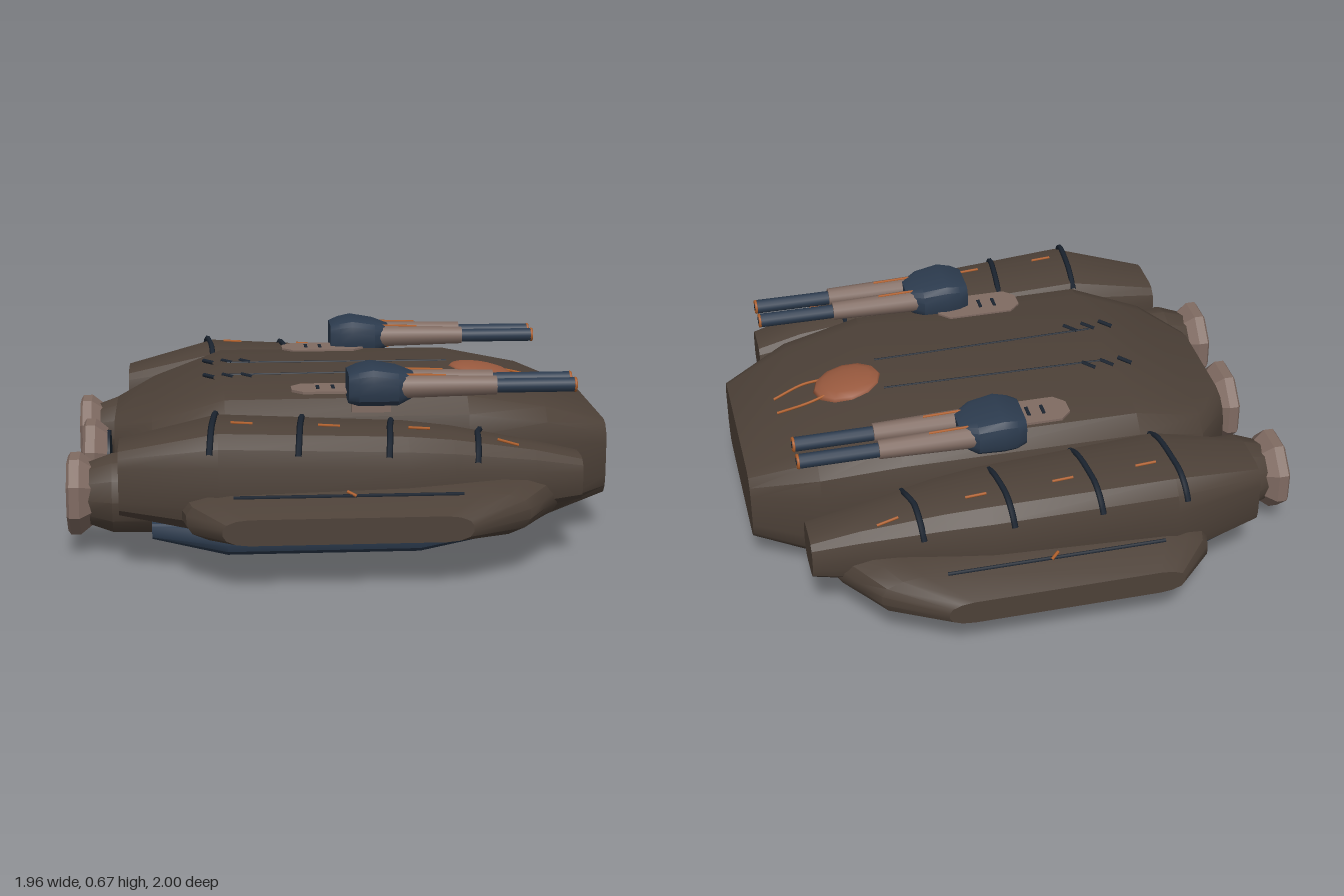
import * as THREE from 'three';
import { toCreasedNormals } from 'three/addons/utils/BufferGeometryUtils.js';

const paint = (name, color, side = THREE.FrontSide) => {
  const m = new THREE.MeshStandardMaterial({ color, side });
  m.name = name;
  return m;
};

// Loft of rounded rectangles along 'x' (u = y, v = z) or 'z' (u = x, v = y).
// Each section: [t, uLo, uHi, vLo, vHi, uRadius, vRadius]
function loft(axis, sections, steps = 3) {
  const place = (t, u, v) => (axis === 'x' ? [t, u, v] : [u, v, t]);
  const rings = [...sections].sort((a, b) => a[0] - b[0]).map(([t, u0, u1, va, vb, ru, rv = ru]) => {
    const v0 = Math.min(va, vb), v1 = Math.max(va, vb), ring = [];
    for (let q = 0; q < 4; q++) {
      const cu = q === 0 || q === 3 ? u1 - ru : u0 + ru;
      const cv = q < 2 ? v1 - rv : v0 + rv;
      for (let i = 0; i <= steps; i++) {
        const a = (q + i / steps) * Math.PI / 2;
        ring.push(place(t, cu + ru * Math.cos(a), cv + rv * Math.sin(a)));
      }
    }
    ring.mid = place(t, (u0 + u1) / 2, (v0 + v1) / 2);
    return ring;
  });
  const pos = [], n = rings[0].length, last = rings[rings.length - 1];
  for (let j = 0; j < n; j++) {
    const k = (j + 1) % n;
    for (let i = 0; i < rings.length - 1; i++) {
      const a = rings[i], b = rings[i + 1];
      pos.push(...a[j], ...a[k], ...b[j], ...a[k], ...b[k], ...b[j]);
    }
    pos.push(...rings[0].mid, ...rings[0][k], ...rings[0][j]);
    pos.push(...last.mid, ...last[j], ...last[k]);
  }
  const g = new THREE.BufferGeometry();
  g.setAttribute('position', new THREE.Float32BufferAttribute(pos, 3));
  return toCreasedNormals(g, 0.5);
}

export function createModel() {
  const root = new THREE.Group();
  root.name = 'gunship';
  const hullMat = paint('hull brown', 0x4d4138);
  const blue = paint('slate blue', 0x2c3b4e);
  const plateMat = paint('pale plate', 0x806b62, THREE.DoubleSide);
  const copper = paint('copper', 0x98593e);
  const orange = paint('orange trim', 0xb0602c);
  const dark = paint('dark trim', 0x1b2430);

  const add = (name, geometry, material, x = 0, y = 0, z = 0) => {
    const m = new THREE.Mesh(geometry, material);
    m.name = name;
    m.position.set(x, y, z);
    root.add(m);
    return m;
  };
  const box = (name, mat, w, h, d, x, y, z) => add(name, new THREE.BoxGeometry(w, h, d), mat, x, y, z);
  const rod = (name, mat, r, pts) => add(name, new THREE.TubeGeometry(
    new THREE.CatmullRomCurve3(pts.map((p) => new THREE.Vector3(...p))), pts.length > 2 ? 20 : 1, r, 6), mat);
  const barrelX = (name, mat, r, x0, x1, y, z) => {
    const m = add(name, new THREE.CylinderGeometry(r, r, x1 - x0, 12), mat, (x0 + x1) / 2, y, z);
    m.rotation.z = -Math.PI / 2;
  };
  // Flat octagonal plate lying in the xz plane
  const plate = (name, w, d, x, y, z) => {
    const c = d * 0.28, a = w / 2, b = d / 2;
    const s = new THREE.Shape([[a, b - c], [a - c, b], [c - a, b], [-a, b - c], [-a, c - b], [c - a, -b], [a - c, -b], [a, c - b]]
      .map((p) => new THREE.Vector2(...p)));
    const m = add(name, new THREE.ExtrudeGeometry(s, { depth: 0.009, bevelEnabled: false }), plateMat, x, y, z);
    m.rotation.x = -Math.PI / 2;
  };

  // Main hull
  add('hull', loft('x', [
    [-0.82, 0.10, 0.42, -0.28, 0.28, 0.10, 0.10],
    [-0.68, 0.02, 0.47, -0.46, 0.46, 0.13, 0.14],
    [-0.42, 0.01, 0.56, -0.52, 0.52, 0.15, 0.16],
    [0.45, 0.02, 0.56, -0.51, 0.51, 0.15, 0.16],
    [0.74, 0.06, 0.505, -0.46, 0.46, 0.13, 0.13],
    [0.98, 0.13, 0.41, -0.34, 0.34, 0.08, 0.06]]), hullMat);

  // Cockpit blister and its feelers
  const dome = add('cockpitBlister', new THREE.SphereGeometry(1, 12, 8), copper, 0.56, 0.535, 0);
  dome.scale.set(0.13, 0.035, 0.115);
  dome.rotation.z = -0.16;

  // Engine: flared bell facing -x with a spoked burner
  const engine = (x, y, z, r, base) => {
    const prof = [[0.72, 0.02], [0.72, -0.03], [0.76, -0.09], [1, -0.045], [1, -0.01], [0.9, 0], [0.78, -0.02], [0.7, -0.05]];
    const lathe = new THREE.LatheGeometry(prof.slice(1).reverse().map(([a, h]) => new THREE.Vector2(a * r, h)), 8, Math.PI / 8);
    const bell = add('engineBell', toCreasedNormals(lathe, 0.4), plateMat, x, y, z);
    bell.rotation.z = Math.PI / 2;
    barrelX('engineCore', dark, r * 0.72, x + 0.035, x + 0.1, y, z);
    for (const k of [0.66, 0.34]) {
      const ring = add('burnerRing', new THREE.TorusGeometry(r * k, r * 0.05, 6, 20), orange, x + 0.03, y, z);
      ring.rotation.y = Math.PI / 2;
    }
    for (let i = 0; i < 3; i++) {
      const spoke = box('burnerSpoke', orange, 0.01, r * 1.2, r * 0.16, x + 0.031, y, z);
      spoke.rotation.x = i * Math.PI / 3;
    }
    if (base) {
      const body = add('engineBody', toCreasedNormals(new THREE.LatheGeometry(
        [[0.105, -0.05], [0.145, -0.16], [0.15, -0.4]].reverse().map(([a, h]) => new THREE.Vector2(a, h)), 12), 0.6), hullMat, x, y, z);
      body.rotation.z = Math.PI / 2;
    }
  };
  engine(-0.945, 0.22, 0, 0.155, false);

  for (const s of [1, -1]) {
    // Mirrors the v range of x lofts, or the axis of z lofts
    const sideX = (rows) => loft('x', rows.map(([t, a, b, c, d, ...r]) => [t, a, b, s * c, s * d, ...r]));
    const sideZ = (rows) => loft('z', rows.map(([t, ...r]) => [s * t, ...r]));

    engine(-0.98, 0.215, s * 0.46, 0.148, true);

    add('sideNacelle', sideX([
      [-0.79, 0.20, 0.44, 0.51, 0.76, 0.06],
      [-0.45, 0.14, 0.525, 0.47, 0.87, 0.12],
      [0.20, 0.14, 0.495, 0.48, 0.835, 0.12],
      [0.36, 0.15, 0.475, 0.49, 0.81, 0.11],
      [0.65, 0.19, 0.42, 0.53, 0.755, 0.08],
      [0.82, 0.22, 0.375, 0.54, 0.72, 0.05]]), hullMat);

    add('sideWing', sideZ([
      [0.70, -0.60, 0.74, 0.15, 0.33, 0.16, 0.07],
      [0.80, -0.58, 0.67, 0.15, 0.32, 0.16, 0.07],
      [0.88, -0.56, 0.61, 0.15, 0.305, 0.15, 0.06],
      [1.00, -0.44, 0.40, 0.17, 0.26, 0.09, 0.035]]), hullMat);

    add('undersideSkid', sideX([
      [-0.68, 0.10, 0.16, 0.54, 0.68, 0.02],
      [-0.42, 0.05, 0.165, 0.48, 0.755, 0.045, 0.06],
      [0.25, 0.05, 0.165, 0.48, 0.755, 0.045, 0.06],
      [0.60, 0.11, 0.17, 0.56, 0.69, 0.02]]), blue);

    // Nacelle straps and dashes
    for (const x of [-0.48, -0.18, 0.13, 0.44]) {
      const h = x < 0.3 ? 0.525 - 0.046 * (x + 0.45) : 0.463;
      const zo = x < 0.3 ? 0.87 - 0.055 * (x + 0.45) : 0.795, zi = 0.475 + 0.04 * (x + 0.45), pts = [];
      for (let i = 0; i <= 5; i++) {
        const a = 0.35 + (Math.PI / 2 - 0.35) * i / 5;
        pts.push([x + 0.012 * i / 5, h - 0.12 + 0.123 * Math.sin(a), s * (zo - 0.12 + 0.123 * Math.cos(a))]);
      }
      pts.push([x + 0.025, h + 0.003, s * (zi + 0.12)], [x + 0.03, h - 0.035, s * (zi + 0.035)]);
      rod('nacelleStrap', dark, 0.011, pts);
      const hd = x < 0.3 ? h - 0.004 : 0.447;
      rod('nacelleDash', orange, 0.005, [[x + 0.075, hd + 0.004, s * 0.72], [x + 0.15, hd - (x < 0.3 ? 0.001 : 0.018), s * 0.72]]);
    }

    // Wing seam
    rod('wingSeam', dark, 0.007, [[-0.40, 0.304, s * 0.885], [0.38, 0.304, s * 0.885]]);
    rod('wingMark', orange, 0.006, [[-0.015, 0.316, s * 0.87], [0.015, 0.306, s * 0.895]]);
    rod('wingUnderMark', orange, 0.005, [[0, 0.150, s * 0.80], [0, 0.153, s * 0.88]]);

    // Deck seams, vents and feelers
    rod('deckSeam', dark, 0.004, [[-0.40, 0.561, s * 0.11], [0.44, 0.561, s * 0.095]]);
    for (let i = 0; i < 3; i++) {
      const x = -0.47 + i * 0.07;
      rod('deckVent', dark, 0.008, [[x - 0.02, 0.561, s * 0.13 - 0.024], [x + 0.02, 0.561, s * 0.13 + 0.024]]);
    }
    rod('feeler', orange, 0.005, [[0.64, 0.535, s * 0.05], [0.72, 0.515, s * 0.062], [0.83, 0.478, s * 0.045]]);

    // Twin gun turret on its deck plate
    plate('turretPlate', 0.32, 0.14, -0.02, 0.558, s * 0.375);
    for (const x of [-0.085, -0.03]) box('plateSlot', dark, 0.012, 0.008, 0.05, x, 0.567, s * 0.375);
    box('turretFoot', plateMat, 0.14, 0.08, 0.10, 0.10, 0.53, s * 0.43);
    add('turretHead', sideX([
      [0.015, 0.54, 0.645, 0.375, 0.545, 0.03],
      [0.05, 0.53, 0.66, 0.355, 0.565, 0.045],
      [0.10, 0.53, 0.67, 0.345, 0.575, 0.05],
      [0.19, 0.53, 0.655, 0.355, 0.565, 0.045],
      [0.25, 0.555, 0.635, 0.40, 0.52, 0.025]]), blue);
    for (const z of [0.413, 0.515]) {
      const sleeve = add('gunSleeve', new THREE.CylinderGeometry(0.034, 0.043, 0.36, 12), plateMat, 0.36, 0.597, s * z);
      sleeve.rotation.z = -Math.PI / 2;
      barrelX('gunBarrel', blue, 0.026, 0.53, 0.825, 0.595, s * z);
      barrelX('gunBore', dark, 0.014, 0.82, 0.828, 0.595, s * z);
      const ring = add('muzzleRing', new THREE.TorusGeometry(0.022, 0.006, 6, 16), orange, 0.822, 0.595, s * z);
      ring.rotation.y = Math.PI / 2;
      rod('sleeveStripe', orange, 0.005, [[0.22, 0.639, s * z], [0.36, 0.635, s * z]]);
    }

    // Belly plates with slots and piping
    plate('bellyPlateRear', 0.28, 0.15, -0.09, 0.005, s * 0.21);
    plate('bellyPlateFront', 0.18, 0.11, 0.27, 0.010, s * 0.21);
    for (const x of [-0.15, -0.09, -0.03]) box('bellySlot', dark, 0.012, 0.008, 0.08, x, 0.005, s * 0.21);
    for (const x of [0.24, 0.30]) box('bellySlot', dark, 0.012, 0.008, 0.05, x, 0.010, s * 0.21);
    for (const z of [0.15, 0.27]) {
      rod('bellyPipe', orange, 0.005, [[-0.28, 0.010, s * z], [0.12, 0.015, s * z]]);
    }
    rod('bellyPipe', orange, 0.006, [[0.34, 0.017, s * 0.21], [0.44, 0.018, s * 0.21], [0.53, 0.030, s * 0.21]]);
    rod('bellySeam', dark, 0.004, [[-0.42, 0.009, s * 0.08], [0.30, 0.017, s * 0.08]]);
    rod('bellySeam', dark, 0.004, [[-0.42, 0.009, s * 0.21], [-0.22, 0.011, s * 0.21]]);
  }
  return root;
}
